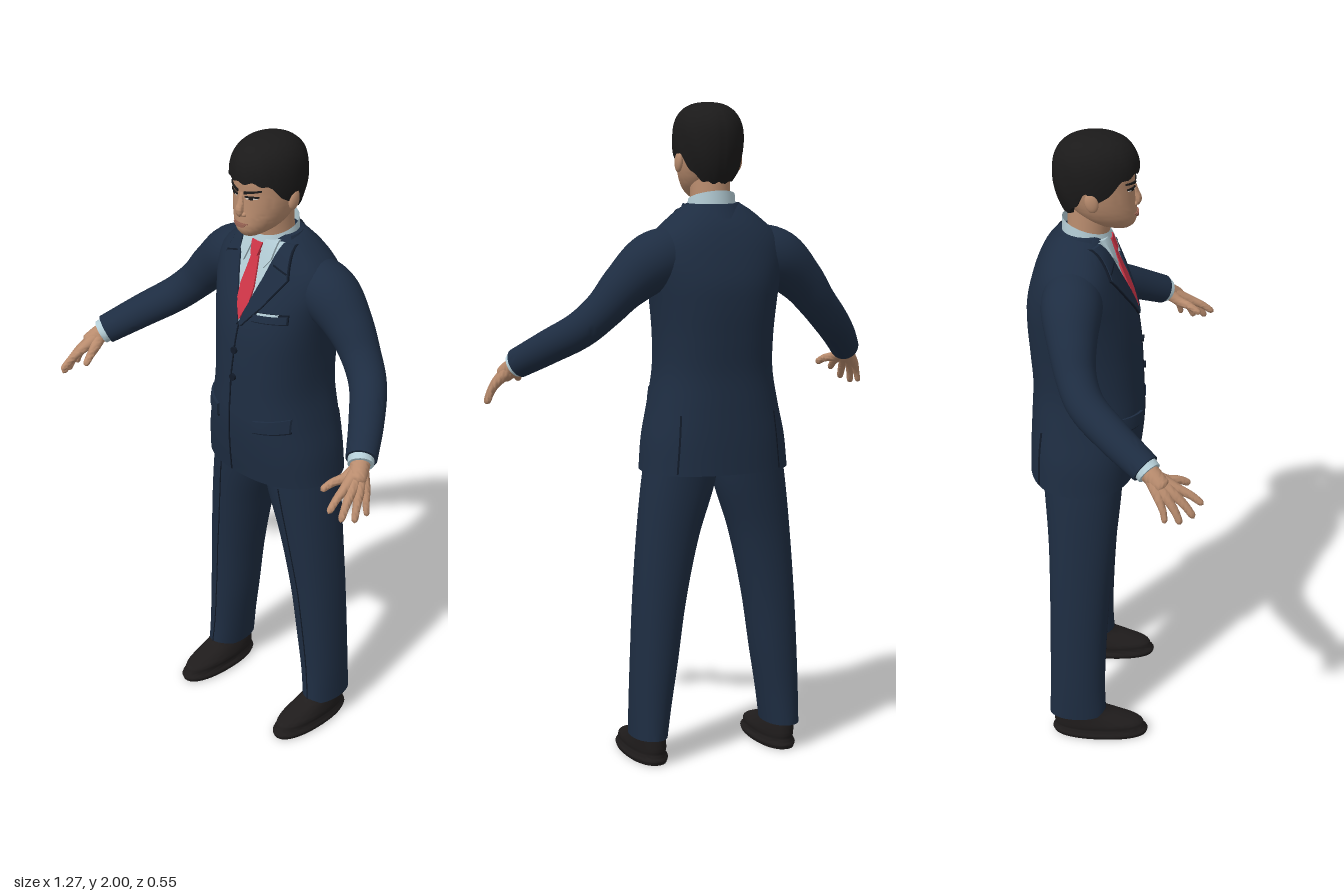
import * as THREE from 'three';
import { toCreasedNormals } from 'three/addons/utils/BufferGeometryUtils.js';
import { ParametricGeometry } from 'three/addons/geometries/ParametricGeometry.js';

const mat = (name, color, side = THREE.DoubleSide) => new THREE.MeshStandardMaterial({ name, color, side });

// Surface from a rule f(u, v) -> [x, y, z], with hard edges kept
function surface(f, nu, nv, crease = 0.9) {
  const g = new ParametricGeometry((u, v, p) => p.set(...f(u, v)), nu, nv);
  g.deleteAttribute('uv');
  return toCreasedNormals(g, crease);
}

// Body of stacked rounded rings; rows are [y, cx, cz, halfWidth, zFront, zBack]
function makeBody(rows, power = 1) {
  const spline = new THREE.CubicInterpolant(rows.map(r => r[0]), rows.flatMap(r => r.slice(1)), 5);
  const y0 = rows[0][0], y1 = rows[rows.length - 1][0];
  const at = y => [...spline.evaluate(Math.min(y1, Math.max(y0, y)))];
  const pw = c => Math.sign(c) * Math.abs(c) ** power;
  return {
    geometry(nu = 40, nv = 36) {
      return surface((u, v) => {
        const i = Math.round(v * nv), y = y0 + (y1 - y0) * Math.min(1, Math.max(0, (i - 1) / (nv - 2)));
        const [cx, cz, rx, zf, zb] = at(y);
        if (i === 0 || i === nv) return [cx, y, cz];
        const c = Math.cos(-2 * Math.PI * u), s = Math.sin(-2 * Math.PI * u);
        return [cx + rx * pw(c), y, cz + Math.abs(pw(s)) * ((s > 0 ? zf : zb) - cz)];
      }, nu, nv);
    },
    // depth of the front or back face at x, y
    z(x, y, back) {
      const [cx, cz, rx, zf, zb] = at(y);
      const c = Math.min(1, Math.abs((x - cx) / rx)) ** (1 / power);
      return cz + Math.sqrt(1 - c * c) ** power * ((back ? zb : zf) - cz);
    },
  };
}

// Thin plate that follows a body, between two edges of [x, y] points
function plate(body, left, right, lift = 0.004, back = false) {
  const n = left.length - 1, nu = 8, nv = n * 6 + 2;
  const along = (e, t) => {
    const i = Math.min(n - 1, Math.floor(t * n)), k = t * n - i;
    return e[i].map((a, j) => a + (e[i + 1][j] - a) * k);
  };
  return surface((u, v) => {
    const i = Math.round(u * nu), j = Math.round(v * nv);
    const rim = i === 0 || j === 0 || i === nu || j === nv;
    const t = Math.min(1, Math.max(0, (j - 1) / (nv - 2))), s = Math.min(1, Math.max(0, (i - 1) / (nu - 2)));
    const a = along(left, t), b = along(right, t);
    const x = a[0] + (b[0] - a[0]) * s, y = a[1] + (b[1] - a[1]) * s;
    return [x, y, body.z(x, y, back) + (rim ? -0.002 : lift) * (back ? -1 : 1)];
  }, nu, nv, 0.6);
}
const flip = e => e.map(([x, y]) => [-x, y]);
const seam = (body, pts, w = 0.002, lift = 0.003, back = false) =>
  plate(body, pts.map(([x, y]) => [x - w, y]), pts.map(([x, y]) => [x + w, y]), lift, back);

// Limb through [x, y, z, radius] points
function limb(pts, round = false, nu = 20, nv = 24) {
  const curve = new THREE.CatmullRomCurve3(pts.map(p => new THREE.Vector3(p[0], p[1], p[2])));
  const radius = new THREE.CubicInterpolant(pts.map((p, i) => i / (pts.length - 1)), pts.map(p => p[3]), 1);
  const ref = new THREE.Vector3(0, 0, 1);
  return surface((u, v) => {
    const i = Math.round(v * nv), t = Math.min(1, Math.max(0, (i - 1) / (nv - 2)));
    const P = curve.getPoint(t), T = curve.getTangent(t);
    const N = ref.clone().cross(T).normalize(), B = T.clone().cross(N);
    let r = i === 0 || i === nv ? 0 : radius.evaluate(t)[0];
    if (round && t > 0.88) r *= Math.sqrt(Math.max(0, 1 - ((t - 0.88) / 0.12) ** 2));
    const a = 2 * Math.PI * u;
    return P.addScaledVector(N, r * Math.cos(a)).addScaledVector(B, r * Math.sin(a)).toArray();
  }, nu, nv);
}

export function createModel() {
  const model = new THREE.Group();
  model.name = 'manInSuit';
  const suit = mat('navy cloth', 0x1e2d42), dark = mat('dark seam', 0x111a28), skin = mat('skin', 0xb98c6e);
  const shirt = mat('pale shirt', 0xb4cdd6), red = mat('red tie', 0xcf3547), black = mat('black hair', 0x1b1a1a);
  const leather = mat('shoe leather', 0x1f1c1c), lip = mat('lips', 0x9a6454), white = mat('eye white', 0xd6cfc8);
  const add = (name, geo, material, parent = model) => {
    const m = new THREE.Mesh(geo, material);
    m.name = name;
    parent.add(m);
    return m;
  };
  const ball = (name, material, parent, pos, size) => {
    const m = add(name, new THREE.SphereGeometry(1, 20, 14), material, parent);
    m.position.set(...pos);
    m.scale.set(...size);
    return m;
  };

  // Jacket
  const torso = makeBody([
    [0.90, 0, -0.11, 0.230, 0.055, -0.272], [1.00, 0, -0.11, 0.219, 0.070, -0.269],
    [1.10, 0, -0.11, 0.197, 0.079, -0.264], [1.20, 0, -0.11, 0.180, 0.076, -0.260],
    [1.30, 0, -0.11, 0.180, 0.071, -0.267], [1.40, 0, -0.11, 0.190, 0.061, -0.274],
    [1.47, 0, -0.11, 0.201, 0.044, -0.273], [1.54, 0, -0.11, 0.212, 0.018, -0.258],
    [1.60, 0, -0.11, 0.200, -0.006, -0.238], [1.65, 0, -0.11, 0.150, -0.024, -0.213],
    [1.69, 0, -0.11, 0.098, -0.040, -0.180], [1.70, 0, -0.11, 0.080, -0.045, -0.170],
  ], 0.86);
  add('jacket', torso.geometry(56, 50), suit);
  add('jacketCollar', surface((u, v) => {
    const a = Math.PI * (1.08 - 1.16 * u) * -1, s = Math.sin(a);
    const r = 0.112 - 0.026 * v;
    return [r * Math.cos(a), 1.645 + 0.055 * v - 0.015 * s * (1 - v), -0.095 + r * s];
  }, 32, 5), suit);

  // Shirt front and tie
  const vEdge = [[0.002, 1.435], [0.022, 1.50], [0.05, 1.58], [0.08, 1.685]];
  add('shirtFront', plate(torso, flip(vEdge), vEdge, 0.003), shirt);
  const tieEdge = [[0.001, 1.445], [0.024, 1.50], [0.027, 1.545], [0.013, 1.64]];
  add('tieBlade', plate(torso, flip(tieEdge), tieEdge, 0.009), red);
  add('tieKnot', plate(torso, [[-0.013, 1.635], [-0.021, 1.675]], [[0.013, 1.635], [0.021, 1.675]], 0.016), red);
  add('shirtCollar', surface((u, v) => {
    const a = -2 * Math.PI * u, s = Math.sin(a), r = 0.078 - 0.008 * v;
    return [r * Math.cos(a), 1.65 + v * (0.068 - 0.022 * s), -0.092 + r * s - 0.004 * v];
  }, 40, 6), shirt);

  // Lapels, collar points and pocket flaps on both sides
  const lapelOut = [[0.008, 1.425], [0.07, 1.50], [0.128, 1.59], [0.105, 1.68]];
  for (const side of [-1, 1]) {
    const m = e => (side > 0 ? e : flip(e));
    add('lapel', plate(torso, m(vEdge), m(lapelOut), 0.009), suit);
    add('lapelSeam', seam(torso, m(lapelOut), 0.003, 0.006), dark);
    add('lapelNotch', plate(torso, m([[0.075, 1.622], [0.075, 1.626]]), m([[0.122, 1.606], [0.122, 1.61]]), 0.011), dark);
    add('collarPoint', plate(torso, m([[0.04, 1.605], [0.016, 1.685]]), m([[0.062, 1.635], [0.066, 1.69]]), 0.011), shirt);
    add('pocketFlap', plate(torso, m([[0.075, 1.09], [0.075, 1.128]]), m([[0.168, 1.098], [0.166, 1.14]]), 0.009), suit);
    add('pocketFlapShadow', plate(torso, m([[0.073, 1.085], [0.073, 1.091]]), m([[0.170, 1.093], [0.170, 1.099]]), 0.005), dark);
    add('backVent', seam(torso, [[0.165 * side, 0.905], [0.15 * side, 1.08]], 0.002, 0.003, true), dark);
  }

  // Front closing, buttons and breast pocket
  add('frontEdge', seam(torso, [[-0.036, 0.903], [-0.022, 1.1], [-0.018, 1.25], [-0.002, 1.43]]), dark);
  for (const y of [1.25, 1.34]) {
    const b = add('button', new THREE.CylinderGeometry(0.011, 0.011, 0.01, 18), dark);
    b.rotation.x = Math.PI / 2;
    b.position.set(-0.008, y, torso.z(-0.008, y) + 0.003);
  }
  add('breastPocketShadow', plate(torso, [[0.045, 1.449], [0.045, 1.479]], [[0.152, 1.459], [0.152, 1.491]], 0.003), dark);
  add('breastPocket', plate(torso, [[0.048, 1.453], [0.048, 1.473]], [[0.15, 1.463], [0.15, 1.485]], 0.007), suit);
  add('pocketSquare', plate(torso, [[0.06, 1.473], [0.06, 1.48]], [[0.125, 1.48], [0.125, 1.488]], 0.006), shirt);

  // Arms, hands, legs and shoes, built on the left and mirrored
  const leg = makeBody([
    [0.08, 0.220, -0.12, 0.055, -0.030, -0.209], [0.18, 0.212, -0.12, 0.062, -0.034, -0.206],
    [0.30, 0.200, -0.12, 0.070, -0.031, -0.206], [0.50, 0.180, -0.12, 0.080, -0.020, -0.206],
    [0.70, 0.150, -0.12, 0.094, -0.002, -0.210], [0.86, 0.116, -0.12, 0.110, 0.014, -0.222],
    [0.96, 0.100, -0.12, 0.110, 0.020, -0.230],
  ], 0.95);
  const shoe = makeBody([
    [0.000, 0.214, -0.05, 0.057, 0.102, -0.196], [0.016, 0.214, -0.05, 0.061, 0.105, -0.200],
    [0.020, 0.214, -0.05, 0.056, 0.099, -0.195], [0.045, 0.214, -0.06, 0.055, 0.085, -0.195],
    [0.065, 0.215, -0.09, 0.051, 0.035, -0.193], [0.085, 0.217, -0.11, 0.047, -0.020, -0.190],
    [0.110, 0.219, -0.12, 0.044, -0.045, -0.185],
  ], 0.9);
  // finger rows: base, middle, tip, thickness
  const fingers = [
    ['indexFinger', [0.569, 1.170, 0.196], [0.573, 1.150, 0.238], [0.577, 1.122, 0.275], 0.0115],
    ['middleFinger', [0.584, 1.164, 0.185], [0.595, 1.130, 0.222], [0.602, 1.092, 0.250], 0.012],
    ['ringFinger', [0.597, 1.158, 0.168], [0.612, 1.120, 0.195], [0.621, 1.081, 0.212], 0.0115],
    ['littleFinger', [0.604, 1.154, 0.148], [0.619, 1.122, 0.162], [0.629, 1.088, 0.168], 0.010],
    ['thumb', [0.540, 1.178, 0.165], [0.522, 1.168, 0.202], [0.509, 1.150, 0.235], 0.012],
  ];
  for (const side of [1, -1]) {
    const half = new THREE.Group();
    half.name = side > 0 ? 'leftLimbs' : 'rightLimbs';
    half.scale.x = side;
    model.add(half);
    add('sleeve', limb([
      [0.09, 1.560, -0.125, 0.080], [0.195, 1.532, -0.125, 0.090], [0.285, 1.462, -0.117, 0.072],
      [0.345, 1.395, -0.103, 0.060], [0.405, 1.335, -0.070, 0.056], [0.48, 1.275, 0.015, 0.052],
      [0.548, 1.218, 0.108, 0.046],
    ], false, 28, 48), suit, half);
    add('shirtCuff', limb([[0.54, 1.224, 0.100, 0.039], [0.557, 1.209, 0.120, 0.038]], false, 24, 6), shirt, half);
    add('wrist', limb([[0.54, 1.222, 0.100, 0.030], [0.558, 1.205, 0.125, 0.029], [0.583, 1.172, 0.165, 0.026]], true), skin, half);
    for (const [name, base, mid, tip, r] of fingers)
      add(name, limb([[0.557, 1.206, 0.122, 0.024], [...base, r * 1.35], [...mid, r * 1.02], [...tip, r * 0.85]], true, 14, 24), skin, half);
    add('trouserLeg', leg.geometry(36, 36), suit, half);
    add('trouserCrease', seam(leg, [[0.222, 0.085], [0.202, 0.3], [0.182, 0.5], [0.152, 0.7], [0.125, 0.88]], 0.0015, 0.002), dark, half);
    add('shoe', shoe.geometry(40, 28), leather, half);
  }

  // Neck and head
  add('neck', makeBody([[1.62, 0, -0.095, 0.064, -0.035, -0.158], [1.70, 0, -0.09, 0.060, -0.026, -0.152],
    [1.78, 0, -0.08, 0.060, -0.010, -0.148]]).geometry(32, 10), skin);
  const head = makeBody([
    [1.712, 0, 0.000, 0.026, 0.034, -0.045], [1.722, 0, -0.015, 0.042, 0.045, -0.075],
    [1.740, 0, -0.035, 0.060, 0.052, -0.105], [1.765, 0, -0.05, 0.075, 0.052, -0.130],
    [1.800, 0, -0.06, 0.086, 0.049, -0.155], [1.850, 0, -0.065, 0.092, 0.046, -0.172],
    [1.900, 0, -0.065, 0.091, 0.045, -0.175], [1.950, 0, -0.065, 0.075, 0.022, -0.155],
    [1.980, 0, -0.065, 0.040, -0.020, -0.110],
  ], 0.95);
  add('head', head.geometry(48, 40), skin);
  add('nose', limb([[0, 1.852, 0.040, 0.007], [0, 1.82, 0.048, 0.010], [0, 1.797, 0.054, 0.0125], [0, 1.78, 0.046, 0.011]], true), skin);
  add('upperLip', plate(head, [[-0.027, 1.757], [-0.027, 1.759]], [[0.027, 1.757], [0.027, 1.759]], 0.003), lip);
  add('lowerLip', plate(head, [[-0.014, 1.747], [-0.025, 1.757]], [[0.014, 1.747], [0.025, 1.757]], 0.006), lip);
  for (const s of [-1, 1]) {
    const m = e => (s > 0 ? e : flip(e));
    ball('nostril', skin, model, [0.012 * s, 1.786, 0.046], [0.009, 0.008, 0.010]);
    ball('ear', skin, model, [0.096 * s, 1.822, -0.073], [0.011, 0.031, 0.020]).rotation.x = -0.2;
    add('eyeWhite', plate(head, m([[0.018, 1.836], [0.018, 1.841]]), m([[0.051, 1.839], [0.051, 1.846]]), 0.002), white);
    add('iris', plate(head, m([[0.028, 1.836], [0.028, 1.845]]), m([[0.040, 1.837], [0.040, 1.846]]), 0.003), black);
    add('upperLid', plate(head, m([[0.015, 1.841], [0.015, 1.845]]), m([[0.054, 1.844], [0.054, 1.849]]), 0.004), black);
    add('eyebrow', plate(head, m([[0.013, 1.851], [0.013, 1.859]]), m([[0.060, 1.863], [0.060, 1.868]]), 0.005), black);
  }

  // Hair cap whose lower edge follows hairline, sideburn, ear and nape
  const hairline = new THREE.CubicInterpolant([0, 0.6, 1.05, 1.3, 1.5, 1.75, 2.1, 2.5, 3.15],
    [1.888, 1.888, 1.866, 1.83, 1.822, 1.848, 1.80, 1.768, 1.762], 1);
  add('hair', surface((u, v) => {
    const phi = (u * 2 - 1) * Math.PI, edge = hairline.evaluate(Math.abs(phi))[0] + 0.004 * Math.cos(phi * 14);
    const i = Math.round(v * 30), w = Math.max(0, (i - 1) / 29);
    const y = edge + (1.998 - edge) * Math.sin(w * Math.PI / 2);
    const t = (y - 1.885) / 0.113;
    let k = t > 0 ? Math.max(0, 1 - t ** 2.5) ** 0.4 : 1 - 0.22 * t * t;
    k *= 1 + 0.008 * Math.sin(phi * 9 + y * 40) * Math.cos(w * Math.PI / 2);
    if (i === 0) k *= 0.84;
    return [0.104 * k * Math.sin(phi), y, -0.067 + 0.127 * k * Math.cos(phi)];
  }, 72, 30), black);

  return model;
}
